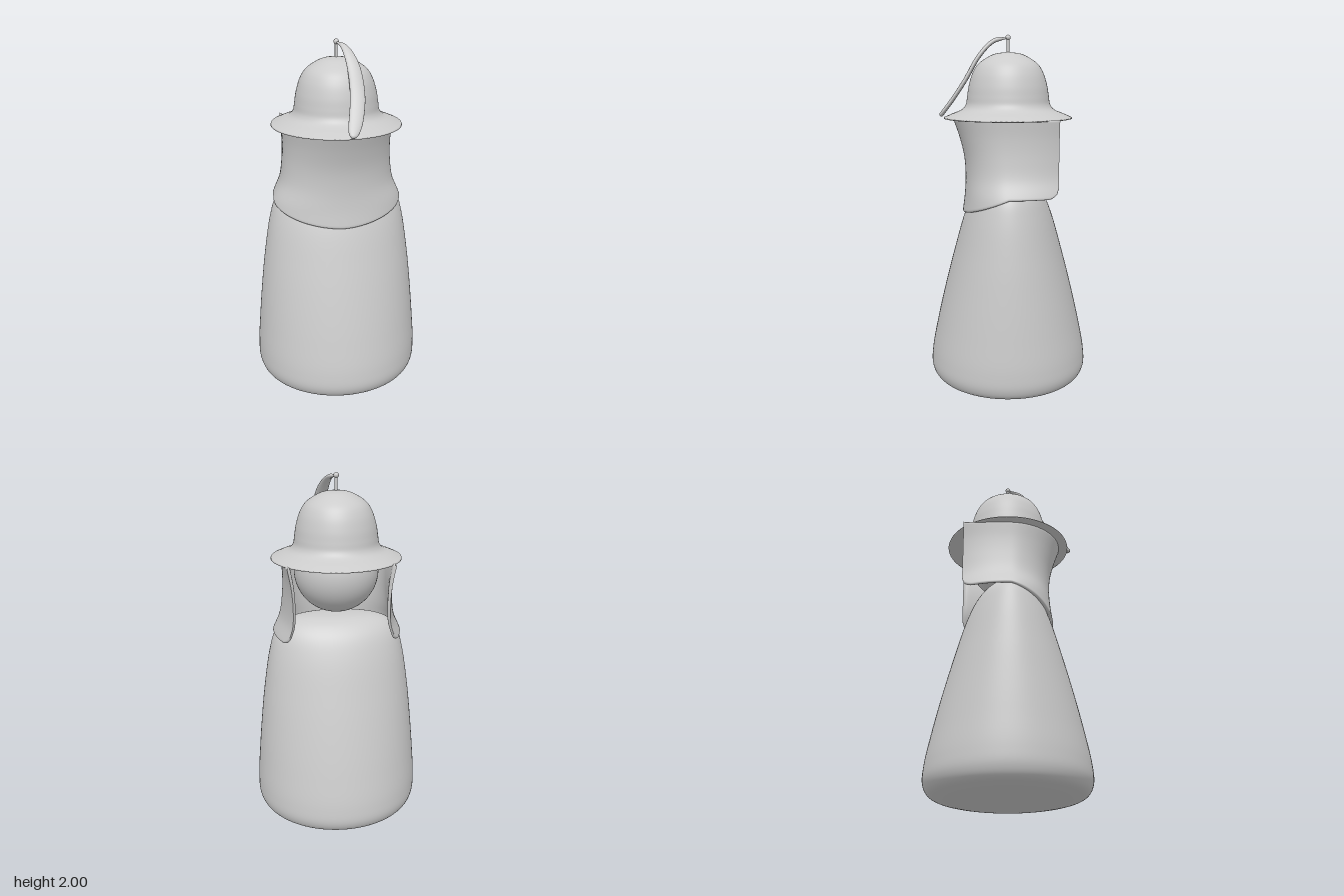
import * as THREE from 'three';

const V = (x, y, z) => new THREE.Vector3(x, y, z);
const clamp = THREE.MathUtils.clamp;

// Smooth surface over a nu x nv grid; either direction may wrap round
function grid(nu, nv, wrapU, wrapV, fn) {
  const cols = wrapU ? nu : nu + 1, rows = wrapV ? nv : nv + 1;
  const pos = [], idx = [];
  for (let j = 0; j < rows; j++)
    for (let i = 0; i < cols; i++) pos.push(...fn(i / nu, j / nv).toArray());
  for (let j = 0; j < nv; j++)
    for (let i = 0; i < nu; i++) {
      const i2 = (i + 1) % cols, r = j * cols, r2 = ((j + 1) % rows) * cols;
      idx.push(r + i, r + i2, r2 + i2, r + i, r2 + i2, r2 + i);
    }
  const g = new THREE.BufferGeometry();
  g.setAttribute('position', new THREE.Float32BufferAttribute(pos, 3));
  g.setIndex(idx);
  g.computeVertexNormals();
  return g;
}

// Robe: elliptical sections given as (half width, height, half depth)
function bodyGeometry() {
  const profile = new THREE.CatmullRomCurve3([
    V(0, 0, 0), V(0.2, 0, 0.19), V(0.38, 0.005, 0.36), V(0.45, 0.03, 0.43), V(0.475, 0.08, 0.455),
    V(0.48, 0.17, 0.452), V(0.468, 0.35, 0.418), V(0.45, 0.55, 0.372), V(0.425, 0.77, 0.315),
    V(0.388, 1.0, 0.248), V(0.355, 1.11, 0.2), V(0.31, 1.165, 0.155), V(0.22, 1.2, 0.1), V(0, 1.215, 0),
  ]);
  return grid(96, 90, true, false, (u, v) => {
    const p = profile.getPoint(v), a = u * Math.PI * 2;
    return V(p.x * Math.sin(a), p.y, p.z * Math.cos(a));
  });
}

// Scarf: a thick band, round in front, with two straighter flaps open at the back
function scarfGeometry() {
  const y0 = 1.0, y1 = 1.55, backZ = -0.273, front = 0.62;
  // (half width, height, front depth) at even heights
  const section = new THREE.CatmullRomCurve3([
    V(0.387, 1.0, 0.264), V(0.37, 1.11, 0.25), V(0.325, 1.22, 0.245),
    V(0.308, 1.33, 0.253), V(0.304, 1.44, 0.28), V(0.312, 1.55, 0.318),
  ], false, 'catmullrom', 0.5);
  return grid(140, 64, false, true, (u, v) => {
    const t = u * 2 - 1, s = Math.abs(t), side = Math.sign(t);
    const a = Math.min(s / front, 1) * Math.PI / 2;
    const back = Math.max(0, (s - front) / (1 - front));
    // hem rises from the front and is rounded at the rear corner
    const q = clamp((back * -backZ - 0.21) / (-backZ - 0.21), 0, 1);
    const hem = y0 + 0.117 * Math.pow(1 - Math.cos(a), 0.8) + 0.06 * (1 - Math.sqrt(1 - q * q));
    const y = hem + (1.545 - hem) * (1 - Math.cos(v * Math.PI * 2)) / 2;
    const p = section.getPoint(clamp((y - y0) / (y1 - y0), 0, 1));
    const thick = 0.011 * Math.sqrt(Math.max(0, 1 - Math.pow(s, 60)));
    const off = thick * (clamp(4 * Math.sin(v * Math.PI * 2), -1, 1) - 1);
    const bend = (0.02 + 0.05 * (y1 - y) / 0.44) * back * back;
    return V(
      side * ((p.x + off) * Math.sin(a) - bend),
      y,
      back > 0 ? backZ * back : (p.z + off) * Math.cos(a));
  });
}

// Hat: domed crown flowing into a thin sloping brim
function hatGeometry() {
  const top = new THREE.SplineCurve([
    [0.364, 1.543], [0.32, 1.562], [0.265, 1.585], [0.24, 1.615], [0.232, 1.66], [0.222, 1.72],
    [0.2, 1.79], [0.163, 1.845], [0.09, 1.89], [0.03, 1.903], [0, 1.904],
  ].map(([r, y]) => new THREE.Vector2(r, y))).getPoints(60);
  top[60].x = 0;
  const under = [[0, 1.54], [0.3, 1.54], [0.358, 1.535], [0.366, 1.537]].map(([r, y]) => new THREE.Vector2(r, y));
  return new THREE.LatheGeometry([...under, ...top], 80);
}

// Feather: flat oval sections swept from the knob down to the brim
function featherGeometry() {
  const path = new THREE.CatmullRomCurve3([
    V(0, 1.983, 0.0), V(0.03, 1.965, 0.08), V(0.06, 1.885, 0.16),
    V(0.07, 1.75, 0.24), V(0.05, 1.64, 0.315), V(0.018, 1.55, 0.385),
  ]);
  const width = new THREE.SplineCurve([0.005, 0.02, 0.034, 0.04, 0.039, 0.036].map((w, i) => new THREE.Vector2(i, w)));
  return grid(24, 48, true, false, (u, v) => {
    const e = 1 - Math.pow(1 - v, 1.3), a = u * Math.PI * 2;
    const c = path.getPoint(e), tan = path.getTangent(e);
    const across = V(1, 0, 0).addScaledVector(tan, -tan.x).normalize();
    const normal = new THREE.Vector3().crossVectors(tan, across);
    const tip = Math.sqrt(Math.max(0, 1 - Math.pow(e, 16)));
    const w = width.getPoint(e).y * tip;
    return c.addScaledVector(across, w * Math.cos(a))
      .addScaledVector(normal, Math.min(0.012, w * 0.8) * Math.sin(a));
  });
}

export function createModel() {
  const model = new THREE.Group();
  const mat = new THREE.MeshStandardMaterial({ color: 0xcccccc, side: THREE.DoubleSide });
  const add = (name, geometry, y = 0) => {
    const mesh = new THREE.Mesh(geometry, mat);
    mesh.name = name;
    mesh.position.y = y;
    model.add(mesh);
  };
  add('body', bodyGeometry());
  add('scarf', scarfGeometry());
  add('head', new THREE.SphereGeometry(0.238, 64, 40), 1.465);
  add('hat', hatGeometry());
  add('hatStem', new THREE.CylinderGeometry(0.008, 0.008, 0.09, 16), 1.935);
  add('hatKnob', new THREE.SphereGeometry(0.015, 20, 14), 1.985);
  add('feather', featherGeometry());
  return model;
}
